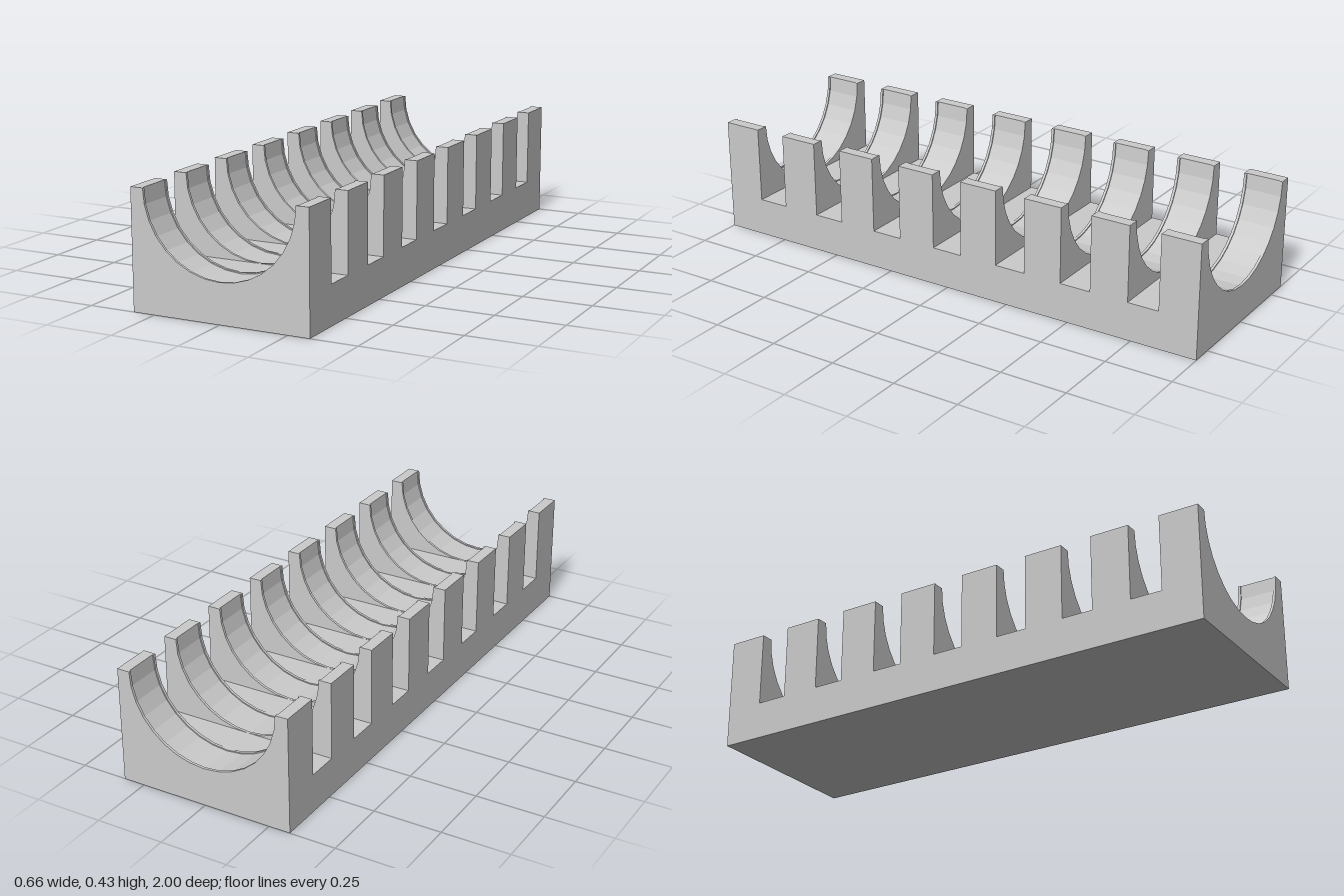
import * as THREE from 'three';

const HALF_W = 0.33, TOP = 0.425, FLOOR = 0.142;
const RIBS = 8, RIB_LENGTH = 0.147, LIP = 0.01;
const PITCH = (2 - RIB_LENGTH) / (RIBS - 1);
const R_LIP = 0.283, R_GROOVE = 0.287, ARC_STEPS = 16;

// Cross-section outline, counter-clockwise seen from the front.
// Slot sections keep the same point count but are flattened to the slot floor.
function outline(radius, isSlot) {
  const top = isSlot ? FLOOR : TOP;
  const pts = [[-HALF_W, 0], [HALF_W, 0], [HALF_W, top]];
  for (let i = 0; i <= ARC_STEPS; i++) {
    const a = -Math.PI * i / ARC_STEPS;
    pts.push([radius * Math.cos(a), isSlot ? FLOOR : TOP + radius * Math.sin(a)]);
  }
  pts.push([-HALF_W, top]);
  return pts;
}

export function createModel() {
  const lip = outline(R_LIP, false);
  const groove = outline(R_GROOVE, false);
  const slot = outline(R_LIP, true);

  // Sections from back to front: lip, shallow groove, lip, then the slot
  const rings = [];
  const section = (pts, z0, z1) => {
    for (const z of [z0, z1]) rings.push(pts.map(([x, y]) => [x, y, z]));
  };
  for (let i = 0; i < RIBS; i++) {
    const z0 = -1 + i * PITCH, z1 = z0 + RIB_LENGTH;
    section(lip, z0, z0 + LIP);
    section(groove, z0 + LIP, z1 - LIP);
    section(lip, z1 - LIP, z1);
    if (i < RIBS - 1) section(slot, z1, z0 + PITCH);
  }

  // Skin the sections; rings sharing a z form the step walls
  const pos = [];
  const tri = (a, b, c) => pos.push(...a, ...b, ...c);
  for (let k = 0; k < rings.length - 1; k++) {
    const p = rings[k], q = rings[k + 1], n = p.length;
    for (let j = 0; j < n; j++) {
      const m = (j + 1) % n;
      tri(p[j], p[m], q[m]);
      tri(p[j], q[m], q[j]);
    }
  }

  // End faces
  const back = rings[0], front = rings[rings.length - 1];
  const flat = lip.map(([x, y]) => new THREE.Vector2(x, y));
  for (const [a, b, c] of THREE.ShapeUtils.triangulateShape(flat, [])) {
    tri(front[a], front[b], front[c]);
    tri(back[c], back[b], back[a]);
  }

  const geometry = new THREE.BufferGeometry();
  geometry.setAttribute('position', new THREE.Float32BufferAttribute(pos, 3));
  geometry.computeVertexNormals();

  const cradle = new THREE.Mesh(
    geometry,
    new THREE.MeshStandardMaterial({ color: 0xcccccc, flatShading: true })
  );
  cradle.name = 'ribbedCradle';

  const group = new THREE.Group();
  group.name = 'ribbedHolder';
  group.add(cradle);
  return group;
}
